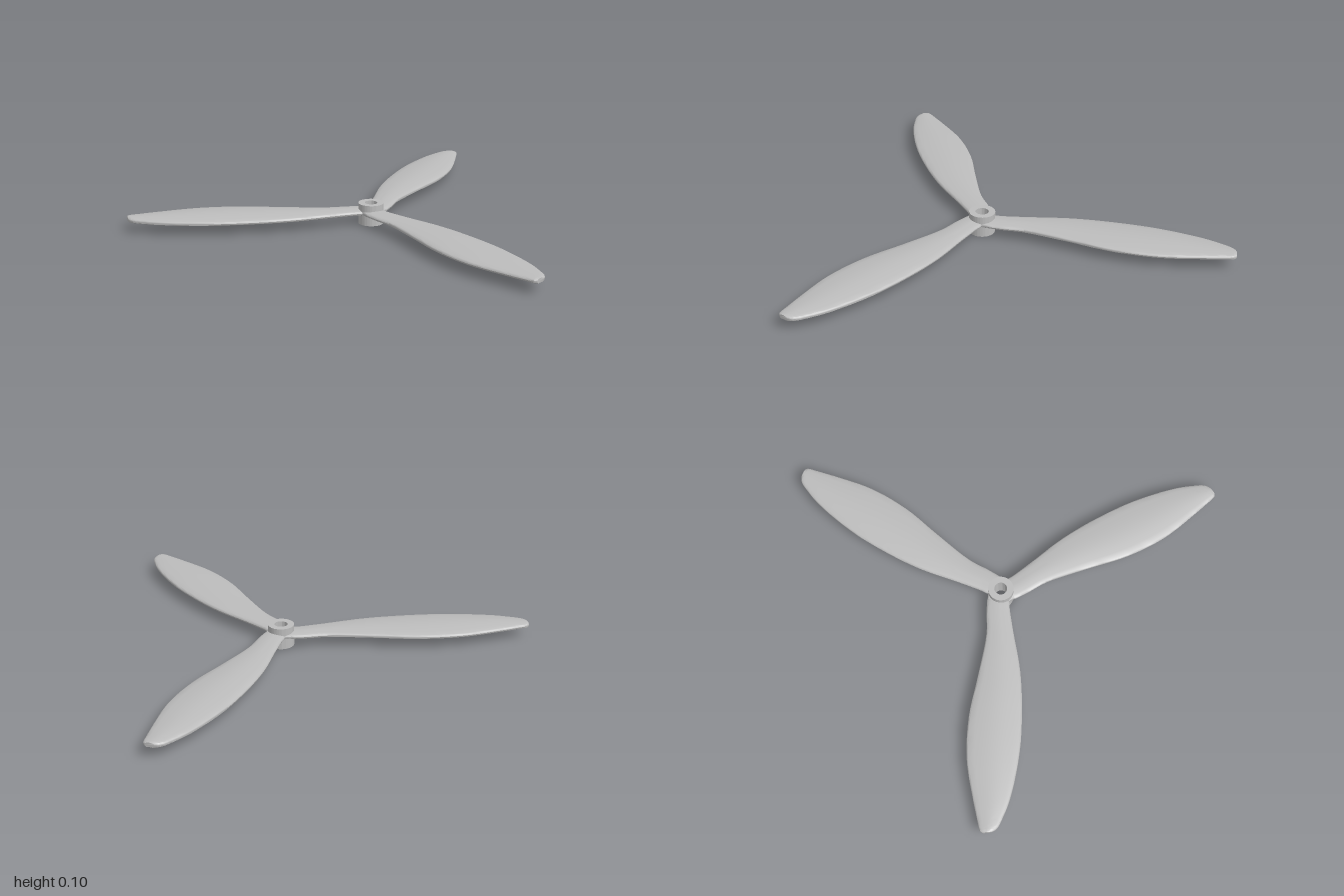
import * as THREE from 'three';
import { toCreasedNormals } from 'three/addons/utils/BufferGeometryUtils.js';

// Blade plan: distance from the hub axis, then the two edge offsets
const STATIONS = [
  [0, -0.06, -0.04], [0.03, -0.066, -0.03], [0.04, -0.069, 0.03],
  [0.1, -0.077, 0.034], [0.2, -0.085, 0.04], [0.4, -0.14, 0.055], [0.6, -0.2, 0.045],
  [0.8, -0.225, 0.015], [1.0, -0.21, -0.045], [1.08, -0.2, -0.084],
  [1.12, -0.195, -0.108], [1.135, -0.19, -0.125], [1.141, -0.182, -0.14],
];

// Closed cross-section: arched top, rounded edges, slightly hollow underside
function section(r, a, b) {
  const w = b - a, e = Math.min(0.008, w * 0.2), arch = w * 0.05, n = 8, loop = [];
  const at = (z, y) => loop.push([-r, y, z]);
  at(a, 0.058);
  at(a + e * 0.3, 0.064);
  for (let i = 0; i <= n; i++) at(a + e + (w - 2 * e) * i / n, 0.067 + arch * Math.sin(Math.PI * i / n));
  at(b - e * 0.3, 0.064);
  at(b, 0.058);
  at(b - e * 0.3, 0.051);
  for (let i = n; i >= 0; i--) at(a + e + (w - 2 * e) * i / n, 0.048 + arch * 0.5 * Math.sin(Math.PI * i / n));
  at(a + e * 0.3, 0.051);
  return loop;
}

function bladeGeometry() {
  const curve = new THREE.CatmullRomCurve3(STATIONS.map(s => new THREE.Vector3(...s)));
  const steps = 60, pos = [], idx = [];
  let m = 0;
  for (let i = 0; i <= steps; i++) {
    const p = curve.getPoint(i / steps);
    const loop = section(p.x, p.y, p.z);
    m = loop.length;
    loop.forEach(v => pos.push(...v));
  }
  // Skin between neighbouring sections
  for (let i = 0; i < steps; i++) {
    for (let j = 0; j < m; j++) {
      const k = (j + 1) % m, a = i * m + j, b = i * m + k, c = a + m, d = b + m;
      idx.push(a, c, b, b, c, d);
    }
  }
  // Flat caps at root and tip
  for (let j = 1; j < m - 1; j++) {
    const t = steps * m;
    idx.push(0, j, j + 1, t, t + j + 1, t + j);
  }
  const g = new THREE.BufferGeometry();
  g.setAttribute('position', new THREE.Float32BufferAttribute(pos, 3));
  g.setIndex(idx);
  return toCreasedNormals(g, 0.7);
}

export function createModel() {
  const grey = new THREE.MeshStandardMaterial({ color: 0xbcbcbc });
  grey.name = 'grey';
  const model = new THREE.Group();
  model.name = 'propeller';
  model.position.set(0.205, 0, -0.08);

  // Hollow hub
  const ring = new THREE.Shape().absarc(0, 0, 0.06, 0, Math.PI * 2);
  ring.holes.push(new THREE.Path().absarc(0, 0, 0.03, 0, Math.PI * 2, true));
  const hubGeo = new THREE.ExtrudeGeometry(ring, { depth: 0.1, bevelEnabled: false, curveSegments: 48 });
  hubGeo.rotateX(-Math.PI / 2);
  const hub = new THREE.Mesh(toCreasedNormals(hubGeo, 0.5), grey);
  hub.name = 'hub';
  model.add(hub);

  // Three equal blades
  const geo = bladeGeometry();
  for (let i = 0; i < 3; i++) {
    const blade = new THREE.Mesh(geo, grey);
    blade.name = 'blade' + (i + 1);
    blade.rotation.y = i * Math.PI * 2 / 3;
    model.add(blade);
  }

  const root = new THREE.Group();
  root.add(model);
  return root;
}
